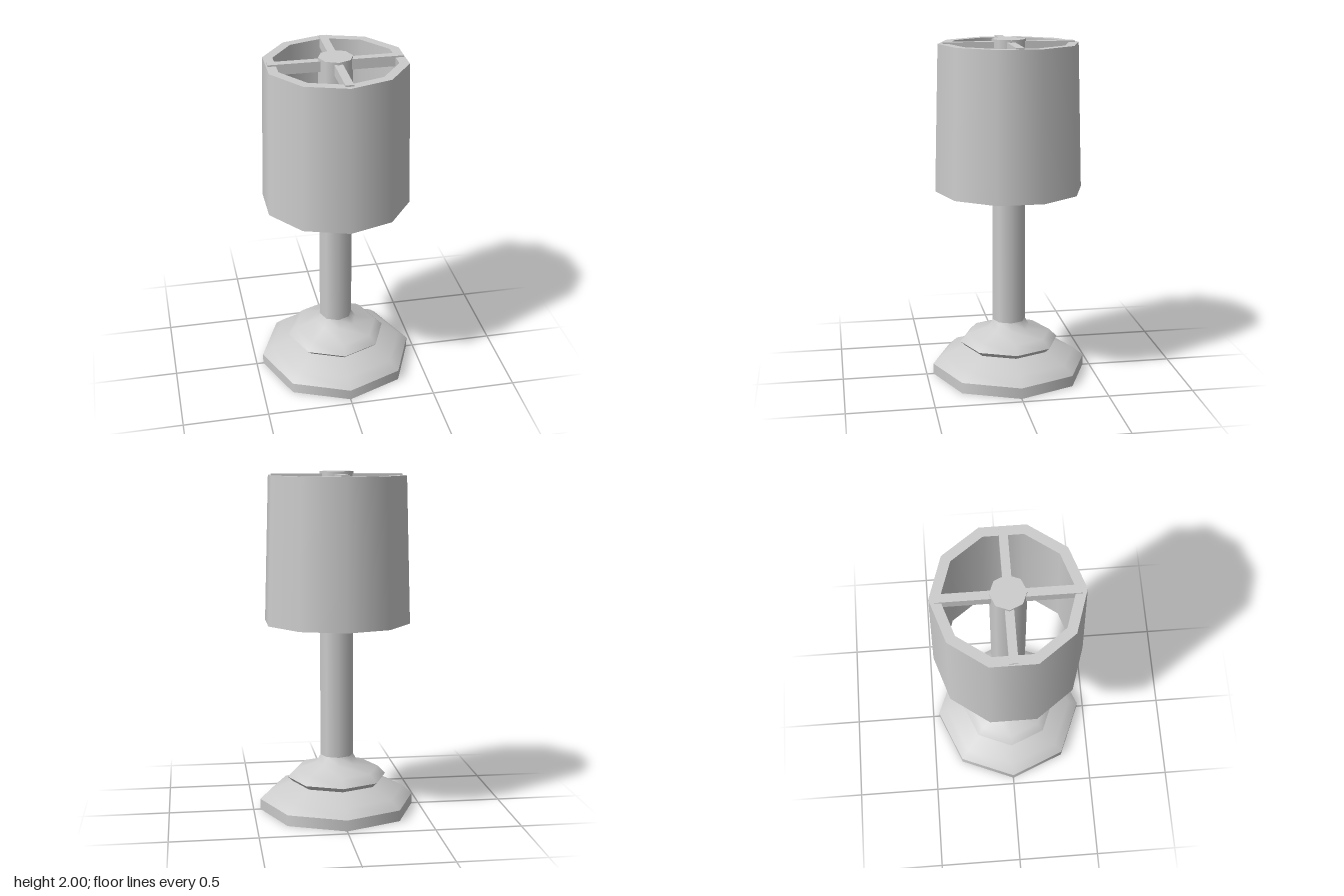
import * as THREE from 'three';

const grey = new THREE.MeshStandardMaterial({ color: 0xcccccc });
grey.name = 'plainGrey';

// Revolve runs of [radius, y]; shading is smooth within a run and sharp between runs.
function revolve(name, sides, runs) {
  const points = runs.flat().map(([r, y]) => new THREE.Vector2(r, y));
  const geometry = new THREE.LatheGeometry(points, sides);
  geometry.normalizeNormals();
  const mesh = new THREE.Mesh(geometry, grey);
  mesh.name = name;
  return mesh;
}

export function createModel() {
  const lamp = new THREE.Group();
  lamp.name = 'tableLamp';

  // Stepped eight-sided foot with an overhanging collar
  lamp.add(revolve('base', 8, [
    [[0, 0], [0.46, 0]],
    [[0.46, 0], [0.46, 0.064]],
    [[0.46, 0.064], [0.4, 0.115], [0.265, 0.168]],
    [[0.265, 0.168], [0.295, 0.196]],
    [[0.295, 0.196], [0.248, 0.243], [0.125, 0.28], [0.098, 0.327]],
  ]));

  // Straight pole up through the shade
  lamp.add(revolve('pole', 8, [
    [[0.098, 0.3], [0.098, 2]],
    [[0.098, 2], [0, 2]],
  ]));

  // Ten-sided hollow shade, slightly wider at the bottom
  lamp.add(revolve('shade', 10, [
    [[0.38, 1.127], [0.432, 1.127]],
    [[0.432, 1.127], [0.406, 1.977]],
    [[0.406, 1.977], [0.349, 1.977]],
    [[0.349, 1.977], [0.38, 1.127]],
  ]));

  // Four spokes from the pole resting over the rim
  const spokes = new THREE.Group();
  spokes.name = 'spokes';
  for (let i = 0; i < 4; i++) {
    const spoke = new THREE.Mesh(new THREE.BoxGeometry(0.31, 0.06, 0.047).translate(0.223, 1.956, 0), grey);
    spoke.name = 'spoke';
    spoke.rotation.y = (i * Math.PI) / 2;
    spokes.add(spoke);
  }
  lamp.add(spokes);
  return lamp;
}
